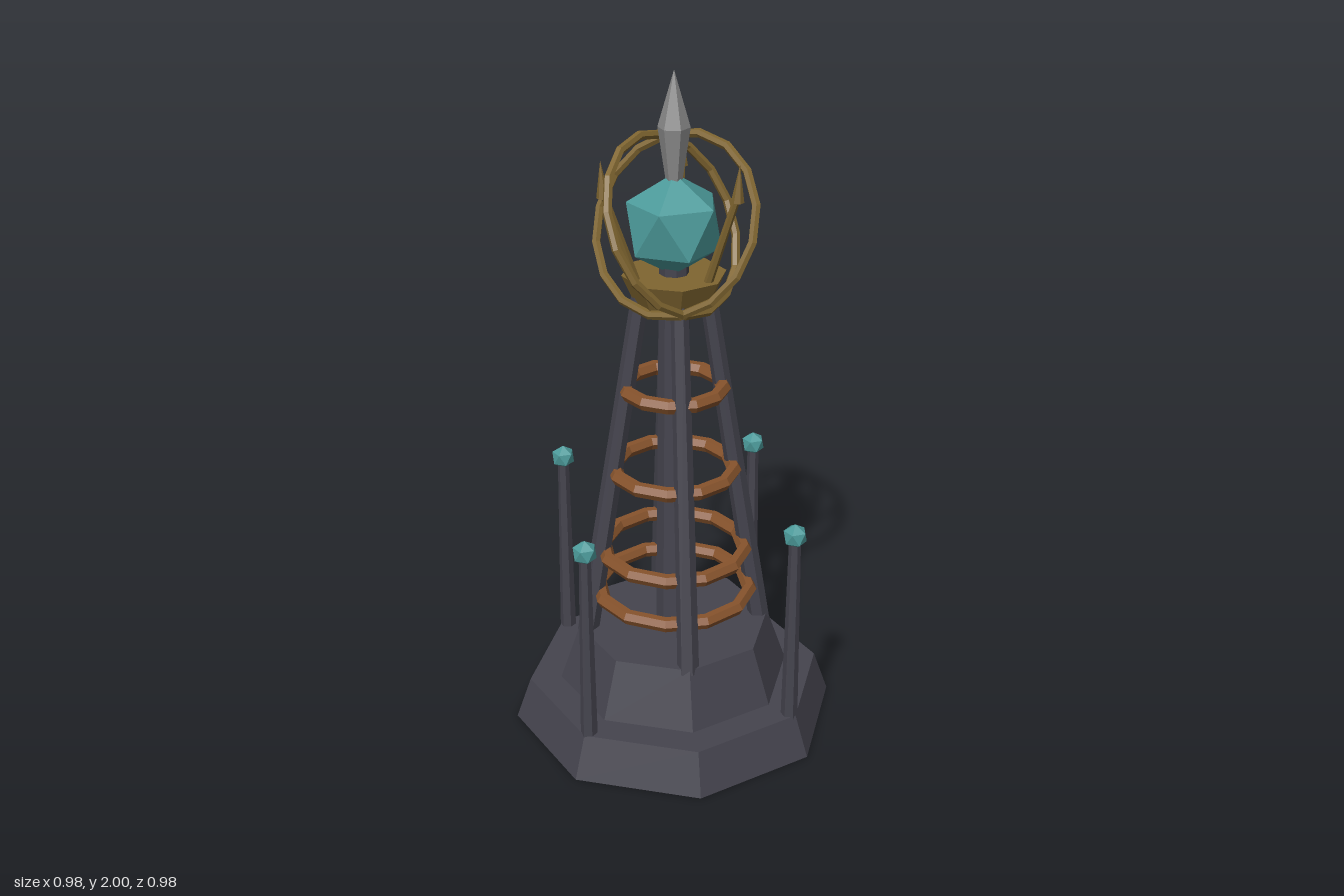
import * as THREE from 'three';

const mat = (name, color) => {
  const m = new THREE.MeshStandardMaterial({ color, flatShading: true });
  m.name = name;
  return m;
};

export function createModel() {
  const model = new THREE.Group();
  model.name = 'crystalTower';
  const iron = mat('darkIron', 0x45444e);
  const copper = mat('copper', 0x87532c);
  const brass = mat('brass', 0x7f6530);
  const teal = mat('tealCrystal', 0x4c9a9a);
  const steel = mat('steel', 0x8a8a8a);

  const add = (name, geometry, material, x = 0, y = 0, z = 0) => {
    const mesh = new THREE.Mesh(geometry, material);
    mesh.name = name;
    mesh.position.set(x, y, z);
    model.add(mesh);
    return mesh;
  };
  // Upright tapered prism between two heights
  const prism = (name, rBottom, rTop, y0, y1, sides, material, x = 0, z = 0) =>
    add(name, new THREE.CylinderGeometry(rTop, rBottom, y1 - y0, sides), material, x, (y0 + y1) / 2, z);
  // Tapered bar between two points
  const strut = (name, a, b, rA, rB, sides, material) => {
    const dir = b.clone().sub(a);
    const mesh = add(name, new THREE.CylinderGeometry(rB, rA, dir.length(), sides), material);
    mesh.position.copy(a).add(b).multiplyScalar(0.5);
    mesh.quaternion.setFromUnitVectors(new THREE.Vector3(0, 1, 0), dir.normalize());
    return mesh;
  };
  // Icosahedron standing on one corner
  const crystal = (r) => new THREE.IcosahedronGeometry(r, 0)
    .rotateX(-Math.atan((1 + Math.sqrt(5)) / 2)).rotateY(Math.PI / 2);

  // Stepped octagonal base
  prism('baseLower', 0.49, 0.445, 0, 0.13, 8, iron);
  prism('baseUpper', 0.35, 0.29, 0.13, 0.305, 8, iron);

  // Central column and four leaning legs
  prism('column', 0.055, 0.042, 0.3, 1.47, 8, iron);
  for (const sx of [-1, 1]) for (const sz of [-1, 1]) {
    strut('leg', new THREE.Vector3(sx * 0.187, 0.285, sz * 0.187),
      new THREE.Vector3(sx * 0.066, 1.38, sz * 0.066), 0.032, 0.025, 6, iron);
  }

  // Copper hoops
  for (const [y, r] of [[0.425, 0.228], [0.56, 0.211], [0.825, 0.176], [1.085, 0.142]]) {
    add('hoop', new THREE.TorusGeometry(r, 0.022, 6, 12).rotateX(Math.PI / 2), copper, 0, y, 0);
  }

  // Four outer pylons with small crystals
  for (let i = 0; i < 4; i++) {
    const x = 0.422 * Math.cos(i * Math.PI / 2), z = 0.422 * Math.sin(i * Math.PI / 2);
    prism('pylon', 0.025, 0.017, 0.12, 0.72, 6, iron, x, z);
    add('pylonCrystal', crystal(0.037), teal, x, 0.733, z);
  }

  // Collar, main crystal and spire
  prism('collar', 0.11, 0.148, 1.345, 1.43, 8, brass);
  add('mainCrystal', crystal(0.147), teal, 0, 1.57, 0);
  prism('spireLower', 0.022, 0.045, 1.69, 1.845, 6, steel);
  add('spireTip', new THREE.ConeGeometry(0.045, 0.155, 6), steel, 0, 1.9225, 0);

  // Two tilted rings around the crystal
  const ring = () => new THREE.TorusGeometry(0.258, 0.013, 6, 16);
  add('ringAcross', ring().rotateX(-0.47), brass, 0, 1.572, 0);
  add('ringAlong', ring().rotateY(Math.PI / 2).rotateZ(0.47), brass, 0, 1.572, 0);

  // Three claws with pointed tips
  for (let i = 0; i < 3; i++) {
    const a = i * Math.PI * 2 / 3;
    const at = (r, y) => new THREE.Vector3(r * Math.cos(a), y, r * Math.sin(a));
    strut('claw', at(0.11, 1.41), at(0.208, 1.69), 0.013, 0.01, 6, brass);
    strut('clawTip', at(0.208, 1.675), at(0.214, 1.78), 0.018, 0, 6, brass);
  }
  return model;
}
